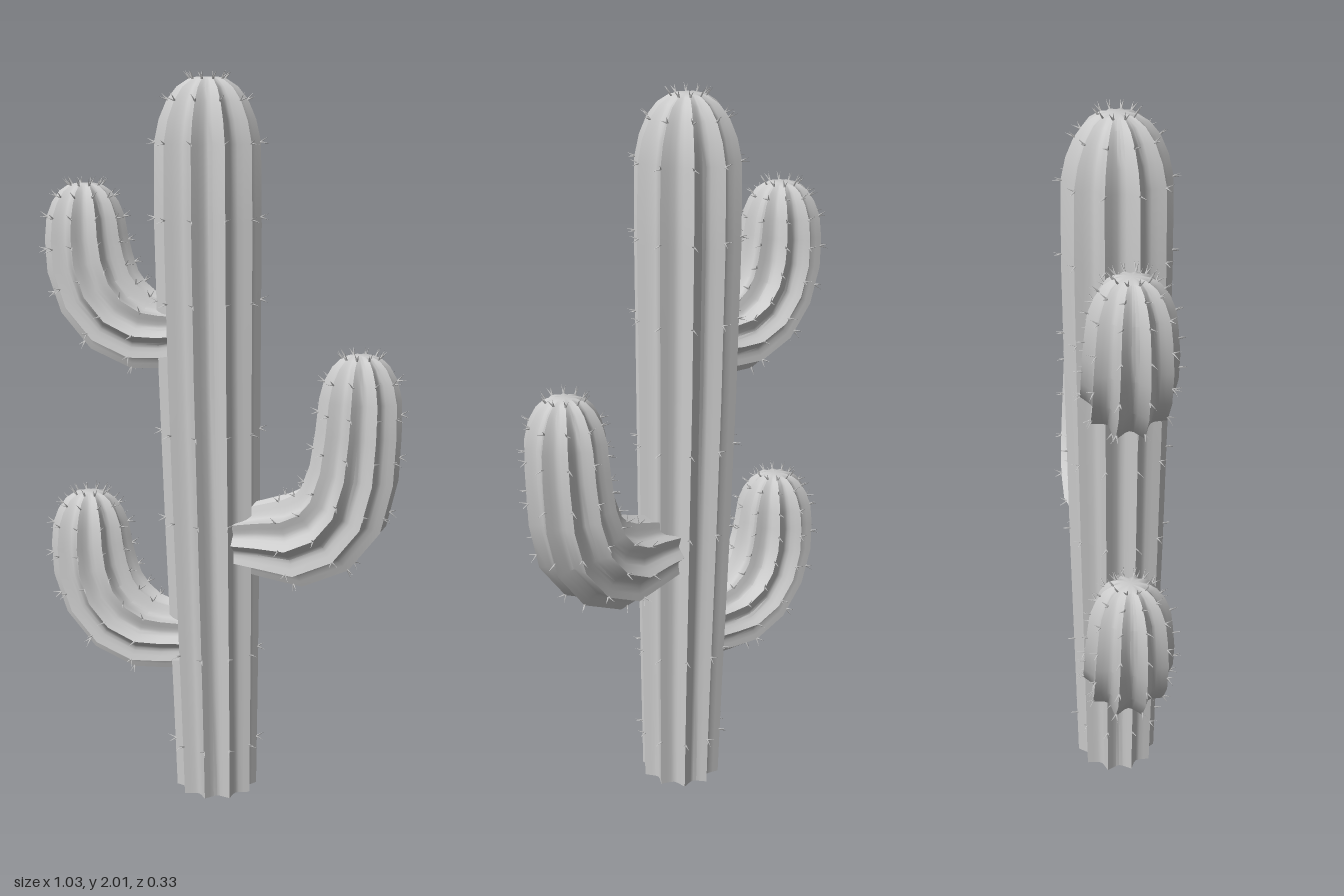
import * as THREE from 'three';
import { mergeGeometries, mergeVertices, toCreasedNormals } from 'three/addons/utils/BufferGeometryUtils.js';

const RIBS = 10, PER_RIB = 6, SIDES = RIBS * PER_RIB, DEPTH = 0.22;
const material = new THREE.MeshStandardMaterial({ color: 0xcccccc });
const Z = new THREE.Vector3(0, 0, 1);

// Each stem is a list of rings [x, y, radius] lying in the z = 0 plane.
function ringFrames(rings) {
  return rings.map(([x, y, r], i) => {
    const a = rings[Math.max(i - 1, 0)], b = rings[Math.min(i + 1, rings.length - 1)];
    const t = new THREE.Vector3(b[0] - a[0], b[1] - a[1], 0).normalize();
    return { p: new THREE.Vector3(x, y, 0), r, t, n: new THREE.Vector3(-t.y, t.x, 0) };
  });
}

// Direction around a ring; ribs have sharp crests with rounded valleys between
function around(frame, angle) {
  return frame.n.clone().multiplyScalar(Math.cos(angle)).addScaledVector(Z, Math.sin(angle));
}

function ribbedGeometry(frames) {
  const pos = [], index = [];
  for (const f of frames) {
    for (let j = 0; j < SIDES; j++) {
      const r = f.r * (1 - DEPTH * Math.sin(Math.PI * (j % PER_RIB) / PER_RIB));
      pos.push(...f.p.clone().addScaledVector(around(f, Math.PI / 2 + j / SIDES * Math.PI * 2), r));
    }
  }
  const last = frames.length - 1;
  const start = frames.length * SIDES, end = start + 1;
  pos.push(...frames[0].p, ...frames[last].p);
  for (let j = 0; j < SIDES; j++) {
    const k = (j + 1) % SIDES;
    for (let i = 0; i < last; i++) {
      const a = i * SIDES + j, b = i * SIDES + k;
      index.push(a, b, a + SIDES, b, b + SIDES, a + SIDES);
    }
    index.push(start, k, j, end, last * SIDES + j, last * SIDES + k);
  }
  const g = new THREE.BufferGeometry();
  g.setAttribute('position', new THREE.Float32BufferAttribute(pos, 3));
  g.setIndex(index);
  return toCreasedNormals(mergeVertices(g), 0.6);
}

// Pairs of thin spines on the rib crests at fractional ring positions
function spineGeometry(frames, stops) {
  const cones = [];
  const up = new THREE.Vector3(0, 1, 0);
  for (const s of stops) {
    const i = Math.min(Math.floor(s), frames.length - 2), m = s - i;
    const a = frames[i], b = frames[i + 1];
    const n = a.n.clone().lerp(b.n, m).normalize(), t = a.t.clone().lerp(b.t, m).normalize();
    const p = a.p.clone().lerp(b.p, m), r = THREE.MathUtils.lerp(a.r, b.r, m);
    // spines turn towards the tip as the stem closes over
    const slope = Math.min(Math.max((a.r - b.r) / a.p.distanceTo(b.p), 0), 1.5);
    for (let k = 0; k < RIBS; k++) {
      const angle = Math.PI / 2 + k / RIBS * Math.PI * 2;
      const out = around({ n }, angle), side = around({ n }, angle + Math.PI / 2);
      const root = p.clone().addScaledVector(out, r - 0.003);
      for (const e of [-1, 1]) {
        const dir = out.clone().addScaledVector(t, slope + 0.35 * e * (k % 2 ? 1 : -1))
          .addScaledVector(side, 0.4 * e).normalize();
        const cone = new THREE.ConeGeometry(0.003, 0.026, 4, 1, true).translate(0, 0.013, 0);
        cone.applyQuaternion(new THREE.Quaternion().setFromUnitVectors(up, dir));
        cones.push(cone.translate(root.x, root.y, root.z));
      }
    }
  }
  return mergeGeometries(cones);
}

function stem(name, rings, stops) {
  const frames = ringFrames(rings);
  const group = new THREE.Group();
  group.name = name;
  const body = new THREE.Mesh(ribbedGeometry(frames), material);
  body.name = name + 'Body';
  const spines = new THREE.Mesh(spineGeometry(frames, stops), material);
  spines.name = name + 'Spines';
  group.add(body, spines);
  return group;
}

export function createModel() {
  const model = new THREE.Group();
  model.name = 'cactus';

  // Trunk: slightly leaning, widening upwards, domed top
  const trunk = [
    [-0.018, 0, 0.113], [-0.022, 0.3, 0.12], [-0.03, 0.75, 0.131], [-0.038, 1.2, 0.139],
    [-0.042, 1.6, 0.144], [-0.043, 1.82, 0.142], [-0.043, 1.88, 0.129], [-0.043, 1.93, 0.108],
    [-0.043, 1.965, 0.081], [-0.043, 1.985, 0.05], [-0.043, 1.99, 0.028],
  ];
  model.add(stem('trunk', trunk, [0.47, 1.25, 2.1, 2.65, 3.5, 4.1, 5, 7, 9]));

  // Large left arm
  const leftArm = [
    [0.05, 0.74, 0.092], [0.12, 0.745, 0.108], [0.21, 0.748, 0.13], [0.29, 0.785, 0.132],
    [0.342, 0.85, 0.129], [0.37, 0.95, 0.122], [0.38, 1.06, 0.116], [0.384, 1.15, 0.111],
    [0.384, 1.2, 0.099], [0.384, 1.24, 0.077], [0.384, 1.262, 0.054], [0.384, 1.27, 0.03],
  ];
  model.add(stem('leftArm', leftArm, [1.8, 3, 4.3, 5.5, 6.6, 8, 10]));

  // Two right arms of the same shape, the lower one reaching further in
  const rightArm = (startX, drop) => [
    [startX, 1.308, 0.09], [-0.16, 1.305, 0.098], [-0.225, 1.308, 0.11], [-0.3, 1.345, 0.119],
    [-0.355, 1.41, 0.121], [-0.383, 1.49, 0.12], [-0.392, 1.56, 0.114], [-0.393, 1.615, 0.107],
    [-0.393, 1.655, 0.091], [-0.393, 1.685, 0.07], [-0.393, 1.7, 0.048], [-0.393, 1.705, 0.028],
  ].map(([x, y, r]) => [x, y - drop, r]);
  const stops = [2, 3.2, 4.5, 5.7, 7, 8.5, 10];
  model.add(stem('upperRightArm', rightArm(-0.12, 0), stops));
  model.add(stem('lowerRightArm', rightArm(-0.095, 0.865), stops));

  return model;
}
